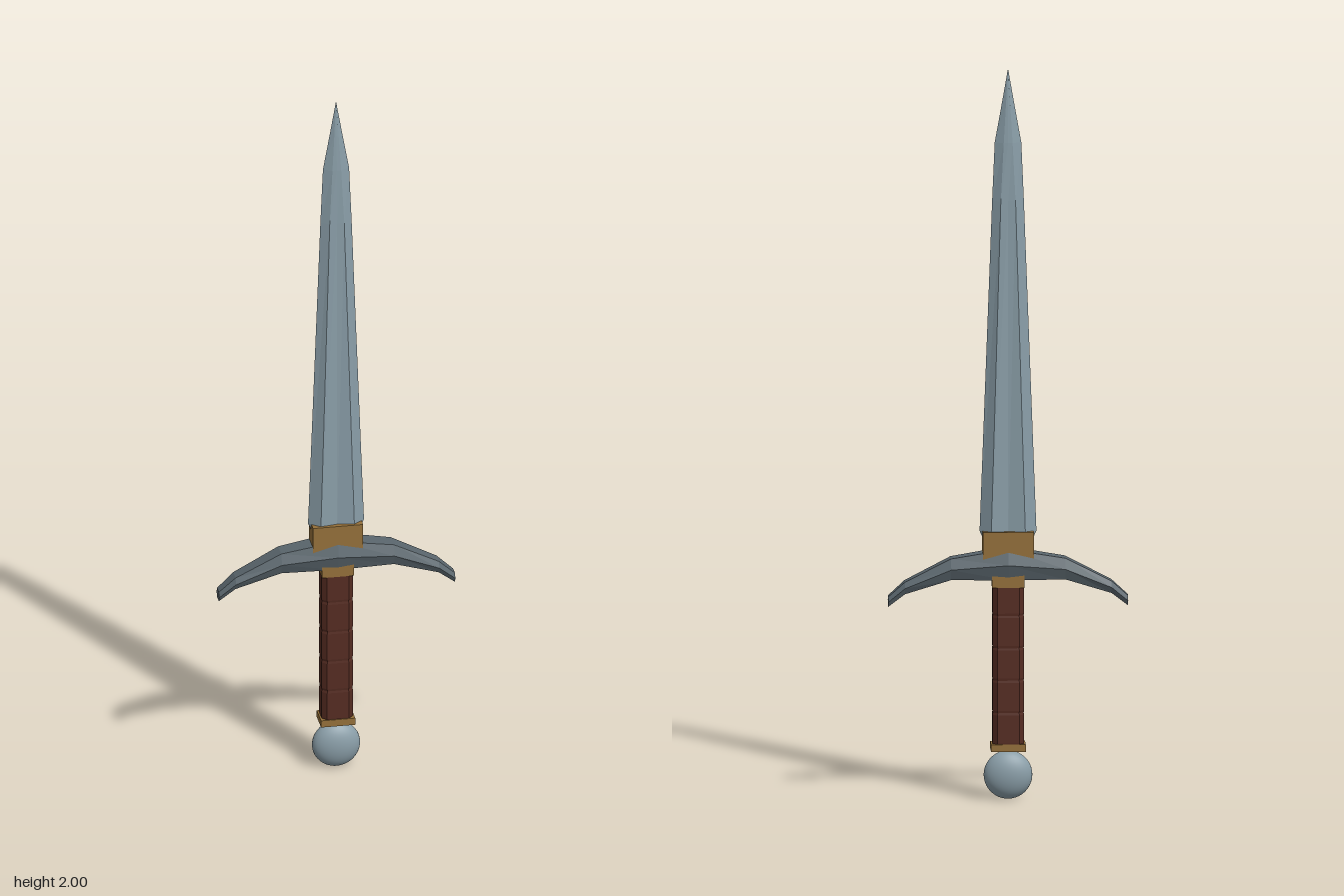
import * as THREE from 'three';

const steel = new THREE.MeshStandardMaterial({ color: 0x8a9ea8 });
const darkSteel = new THREE.MeshStandardMaterial({ color: 0x5a666d });
const brass = new THREE.MeshStandardMaterial({ color: 0x94703a });
const leather = new THREE.MeshStandardMaterial({ color: 0x552c22 });
steel.name = 'steel';
darkSteel.name = 'darkSteel';
brass.name = 'brass';
leather.name = 'leather';

// Skin between rings of [x, y, z] points, flat shaded, with both ends capped.
// Rings run counter-clockwise when seen from the end they advance towards.
function loft(rings) {
  const pos = [];
  const tri = (a, b, c) => pos.push(...a, ...b, ...c);
  const n = rings[0].length;
  for (let i = 0; i < rings.length - 1; i++) {
    for (let j = 0; j < n; j++) {
      const k = (j + 1) % n, lo = rings[i], hi = rings[i + 1];
      tri(lo[j], lo[k], hi[k]);
      tri(lo[j], hi[k], hi[j]);
    }
  }
  const cap = (ring, flip) => {
    const c = [0, 1, 2].map(a => ring.reduce((s, p) => s + p[a], 0) / n);
    ring.forEach((p, j) => {
      const q = ring[(j + 1) % n];
      flip ? tri(c, q, p) : tri(c, p, q);
    });
  };
  cap(rings[0], true);
  cap(rings[rings.length - 1], false);
  const g = new THREE.BufferGeometry();
  g.setAttribute('position', new THREE.Float32BufferAttribute(pos, 3));
  g.computeVertexNormals();
  return g;
}

export function createModel() {
  const root = new THREE.Group();
  root.name = 'dagger';
  const add = (name, geometry, material, y = 0) => {
    const mesh = new THREE.Mesh(geometry, material);
    mesh.name = name;
    mesh.position.y = y;
    root.add(mesh);
    return mesh;
  };

  // Blade: [y, half width, ridge x, ridge z, groove z]
  const bladeRings = [
    [0.71, 0.066, 0.046, 0.024, 0.017],
    [0.735, 0.077, 0.046, 0.025, 0.017],
    [1.64, 0.043, 0.02, 0.015, 0.014],
    [1.8, 0.036, 0.012, 0.012, 0.0125],
    [1.9, 0.018, 0.006, 0.007, 0.0075],
    [2.0, 0.0005, 0.0002, 0.0003, 0.0003],
  ].map(([y, w, rx, rz, gz]) => [
    [w, y, 0], [rx, y, -rz], [0, y, -gz], [-rx, y, -rz],
    [-w, y, 0], [-rx, y, rz], [0, y, gz], [rx, y, rz],
  ]);
  add('blade', loft(bladeRings), steel);

  // Crossguard: drooping six-sided bar, [x, top y, bottom y, half depth]
  const half = [
    [0, 0.688, 0.603, 0.043],
    [0.155, 0.662, 0.604, 0.035],
    [0.28, 0.598, 0.565, 0.027],
    [0.325, 0.557, 0.53, 0.02],
  ];
  const stations = [
    ...half.slice(1).reverse().map(([x, ...rest]) => [-x, ...rest]), ...half,
  ];
  const guardRings = stations.map(([x, t, b, d]) => {
    const m = (t + b) / 2, e = d * 0.68;
    return [[x, t, e], [x, t, -e], [x, m, -d], [x, b, -e], [x, b, e], [x, m, d]].reverse();
  });
  add('crossguard', loft(guardRings), darkSteel);

  // Brass fittings
  add('bladeCollar', new THREE.BoxGeometry(0.138, 0.075, 0.064), brass, 0.6975);
  add('upperFerrule', new THREE.BoxGeometry(0.088, 0.04, 0.064), brass, 0.603);
  add('lowerFerrule', new THREE.BoxGeometry(0.094, 0.02, 0.066), brass, 0.143);

  // Grip: chamfered bar with shallow grooves between the leather bands
  const gripRings = [];
  const bands = 5, bottom = 0.15, top = 0.595, step = (top - bottom) / bands;
  const gripRing = (y, s) => {
    const w = 0.043 * s, d = 0.031 * s, c = 0.013;
    return [
      [w, y, d - c], [w, y, c - d], [w - c, y, -d], [c - w, y, -d],
      [-w, y, c - d], [-w, y, d - c], [c - w, y, d], [w - c, y, d],
    ];
  };
  for (let i = 0; i < bands; i++) {
    const y = bottom + i * step;
    gripRings.push(gripRing(y, 0.97), gripRing(y + 0.006, 1), gripRing(y + step - 0.006, 1));
  }
  gripRings.push(gripRing(top, 0.97));
  add('grip', loft(gripRings), leather);

  // Flattened round pommel
  add('pommel', new THREE.SphereGeometry(0.066, 32, 20), steel, 0.066).scale.z = 0.56;

  return root;
}
